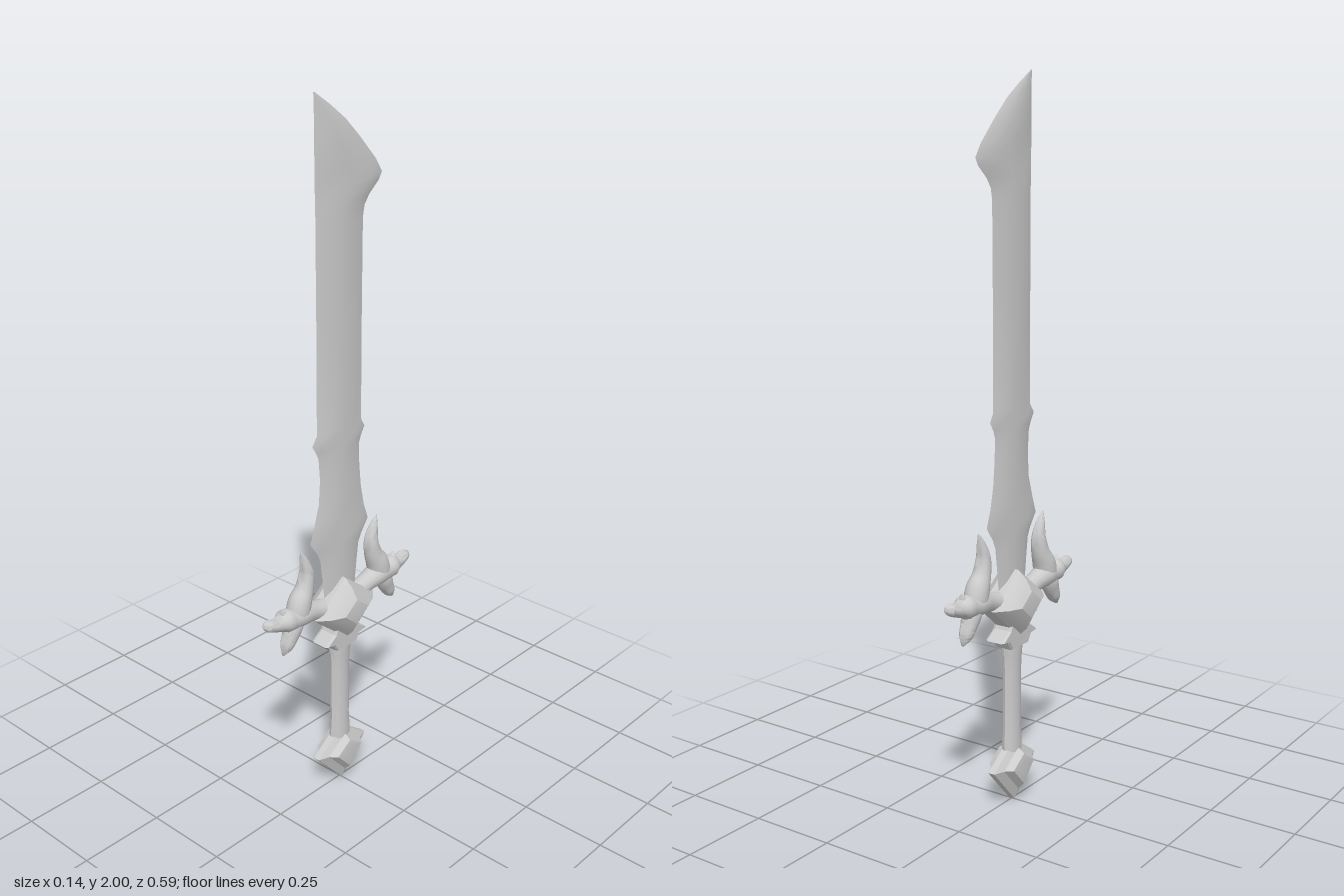
import * as THREE from 'three';
import { toCreasedNormals } from 'three/addons/utils/BufferGeometryUtils.js';

const material = new THREE.MeshStandardMaterial({ color: 0xcccccc });

// Skin a row of equal-length closed rings of [x, y, z] and cap both ends
function loft(rings, crease) {
  const n = rings[0].length, pos = rings.flat(2), idx = [];
  for (let i = 0; i < rings.length - 1; i++) {
    for (let j = 0; j < n; j++) {
      const a = i * n + j, b = i * n + (j + 1) % n;
      idx.push(a, b, b + n, a, b + n, a + n);
    }
  }
  const last = (rings.length - 1) * n;
  for (let j = 1; j < n - 1; j++) idx.push(0, j + 1, j, last, last + j, last + j + 1);
  // turn every face outward if the enclosed volume comes out negative
  const p = i => new THREE.Vector3().fromArray(pos, i * 3);
  let volume = 0;
  for (let i = 0; i < idx.length; i += 3) volume += p(idx[i]).dot(p(idx[i + 1]).cross(p(idx[i + 2])));
  if (volume < 0) idx.reverse();
  const g = new THREE.BufferGeometry();
  g.setAttribute('position', new THREE.Float32BufferAttribute(pos, 3));
  g.setIndex(idx);
  return toCreasedNormals(g, crease);
}

// Diamond in the y-z plane, stepped outward along x by [scale, x] levels on both faces
function diamond(cy, up, down, halfZ, levels) {
  const ring = ([s, x]) => [[x, cy + up * s, 0], [x, cy, halfZ * s], [x, cy - down * s, 0], [x, cy, -halfZ * s]];
  const back = levels.map(([s, x]) => ring([s, -x])).reverse();
  return loft([...back, ...levels.map(ring)], 0.35);
}

// Curved horn in the y-z plane from [z, y, radius] stations
function horn(stations, side, widthX) {
  const path = new THREE.CatmullRomCurve3(stations.map(([z, y, r]) => new THREE.Vector3(r, y, z)));
  const rings = [], steps = 28, sides = 14;
  for (let i = 0; i <= steps; i++) {
    const t = i / steps, c = path.getPoint(t), d = path.getTangent(t);
    const len = Math.hypot(d.y, d.z) || 1, r = Math.max(c.x, 0.001);
    const ring = [];
    for (let j = 0; j < sides; j++) {
      const a = j / sides * Math.PI * 2, k = Math.cos(a) * r;
      ring.push([Math.sin(a) * r * widthX, c.y + k * d.z / len, side * (c.z - k * d.y / len)]);
    }
    rings.push(ring);
  }
  return loft(rings, 1.2);
}

export function createModel() {
  const model = new THREE.Group();
  const add = (name, geometry, parent = model) => {
    const mesh = new THREE.Mesh(geometry, material);
    mesh.name = name;
    parent.add(mesh);
    return mesh;
  };

  // Blade rows: [y, front edge z, back edge z]
  const rows = [
    [0.6, 0.06, -0.06], [0.69, 0.07, -0.07], [0.75, 0.078, -0.078], [0.775, 0.09, -0.09],
    [0.812, 0.117, -0.117], [0.86, 0.1, -0.1], [0.92, 0.082, -0.087], [0.99, 0.077, -0.08],
    [1.05, 0.082, -0.078], [1.07, 0.09, -0.085], [1.095, 0.106, -0.1], [1.12, 0.088, -0.086],
    [1.4, 0.087, -0.086], [1.67, 0.088, -0.088], [1.7, 0.088, -0.094], [1.725, 0.089, -0.112],
    [1.755, 0.089, -0.148], [1.775, 0.09, -0.16], [1.81, 0.09, -0.137], [1.875, 0.09, -0.075],
    [1.925, 0.09, -0.022], [1.965, 0.091, 0.033], [2, 0.092, 0.088],
  ];
  add('blade', loft(rows.map(([y, f, b]) => {
    const w = f - b, t = Math.min(0.013, w * 0.08), m = z => f - w * z;
    return [[0, y, f], [t * 0.85, y, m(0.22)], [t, y, m(0.5)], [t * 0.85, y, m(0.78)],
      [0, y, b], [-t * 0.85, y, m(0.78)], [-t, y, m(0.5)], [-t * 0.85, y, m(0.22)]];
  }), 0.5));

  // Guard centre: bulging faceted diamond
  add('guardDiamond', diamond(0.585, 0.09, 0.1, 0.118,
    [[1, 0.022], [0.72, 0.05], [0.4, 0.067], [0.02, 0.071]]));

  // Pointed collar under the guard
  const half = [[0.03, 0.545], [0.045, 0.51], [0.078, 0.487], [0.05, 0.483], [0.036, 0.46]];
  const outline = [...half, ...half.map(([z, y]) => [-z, y]).reverse()];
  const collar = new THREE.ExtrudeGeometry(new THREE.Shape(outline.map(p => new THREE.Vector2(...p))),
    { depth: 0.044, bevelThickness: 0.008, bevelSize: 0.004, bevelSegments: 1 });
  collar.translate(0, 0, -0.022).rotateY(Math.PI / 2);
  add('collar', collar);

  // Horned wings on both sides of the guard
  for (const side of [1, -1]) {
    const wing = new THREE.Group();
    wing.name = side > 0 ? 'frontWing' : 'backWing';
    model.add(wing);
    add('arm', horn([[0.06, 0.595, 0.03], [0.11, 0.608, 0.027], [0.16, 0.618, 0.033], [0.195, 0.618, 0.03],
      [0.218, 0.622, 0.032], [0.24, 0.622, 0.022], [0.268, 0.628, 0.018], [0.287, 0.634, 0.014],
      [0.296, 0.638, 0.002]], side, 1.05), wing);
    add('upperHorn', horn([[0.155, 0.808, 0.001], [0.142, 0.775, 0.013], [0.133, 0.735, 0.021],
      [0.142, 0.69, 0.027], [0.16, 0.655, 0.034], [0.17, 0.615, 0.032], [0.172, 0.59, 0.015]], side, 0.95), wing);
    add('lowerHorn', horn([[0.165, 0.63, 0.02], [0.185, 0.595, 0.027], [0.2, 0.565, 0.023],
      [0.214, 0.54, 0.018], [0.228, 0.518, 0.003]], side, 1), wing);
    add('barb', horn([[0.205, 0.61, 0.018], [0.222, 0.638, 0.013], [0.23, 0.662, 0.002]], side, 1.3), wing);
  }

  // Grip: flattened, slightly waisted handle
  const profile = [[0, 0.14], [0.036, 0.14], [0.036, 0.18], [0.033, 0.22], [0.034, 0.3],
    [0.033, 0.38], [0.036, 0.43], [0.04, 0.465], [0.04, 0.5], [0, 0.5]];
  const grip = new THREE.LatheGeometry(profile.map(p => new THREE.Vector2(...p)), 16);
  grip.scale(0.64, 1, 1);
  add('grip', toCreasedNormals(grip, 0.6));

  // Pommel: flat diamond with a raised block on each face
  add('pommel', diamond(0.11, 0.07, 0.11, 0.1,
    [[1, 0.01], [0.68, 0.022], [0.5, 0.042], [0.3, 0.044], [0.02, 0.044]]));

  return model;
}
